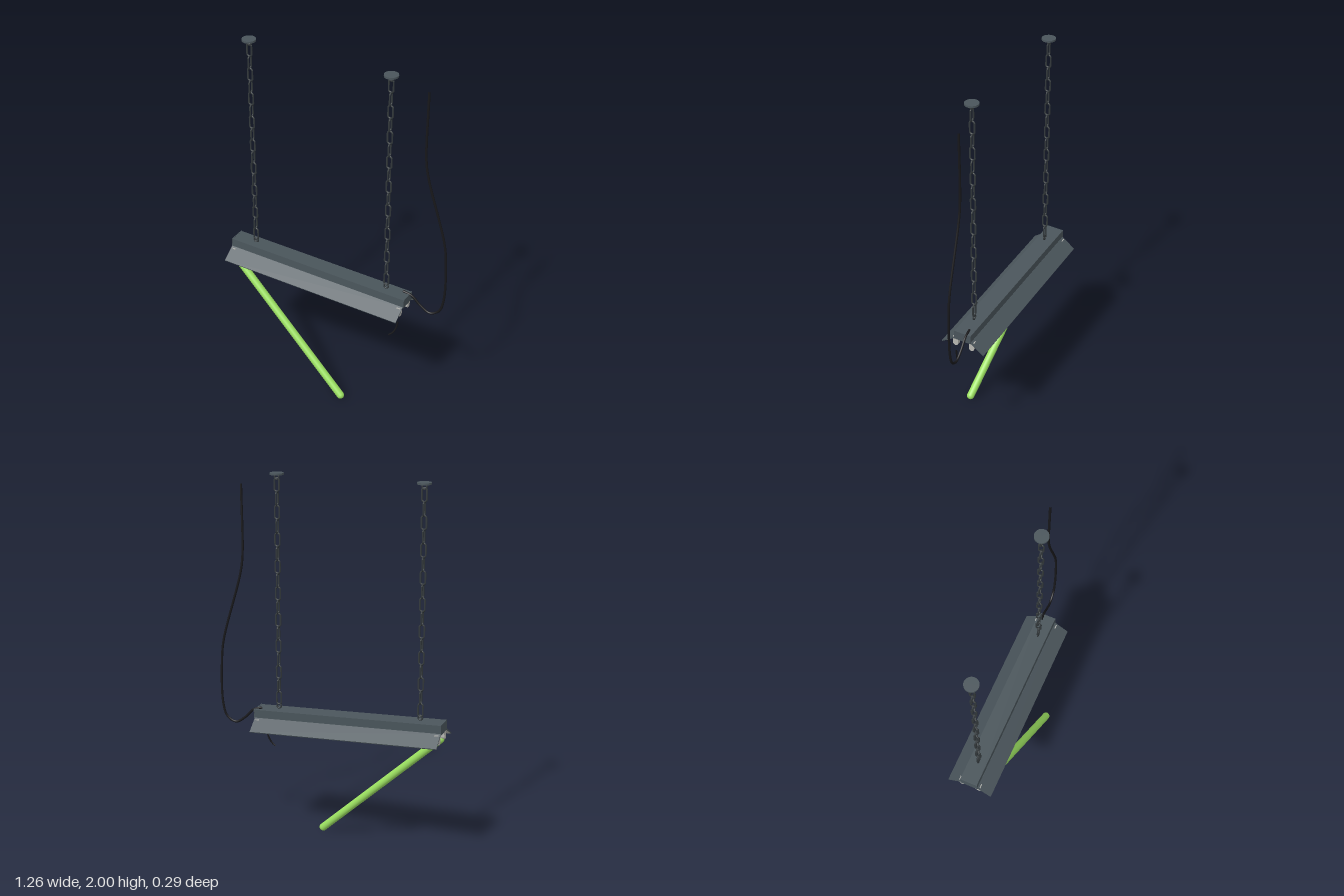
import * as THREE from 'three';

const mat = (color, extra = {}) => new THREE.MeshStandardMaterial({ color, ...extra });
const V = (x, y, z) => new THREE.Vector3(x, y, z);

export function createModel() {
  const root = new THREE.Group();
  root.name = 'hangingTubeLamp';
  const paint = mat(0x4a555b), metal = mat(0x33393c), rubber = mat(0x17171a);
  const lining = mat(0xb4b4ac, { side: THREE.DoubleSide });
  const plastic = mat(0xb9b9b4), glow = mat(0x9be060);

  const add = (parent, name, geo, material, pos = [0, 0, 0]) => {
    const m = new THREE.Mesh(geo, material);
    m.name = name;
    m.position.set(...pos);
    parent.add(m);
    return m;
  };
  // Extrude a (z, y) outline along x, centred
  const extrudeX = (points, length) => {
    const shape = new THREE.Shape(points.map(p => new THREE.Vector2(-p[0], p[1])));
    return new THREE.ExtrudeGeometry(shape, { depth: length, bevelEnabled: false })
      .translate(0, 0, -length / 2).rotateY(Math.PI / 2);
  };

  // Tilted lamp housing
  const fixture = new THREE.Group();
  fixture.name = 'fixture';
  fixture.position.set(-0.099, 0.699, -0.019);
  fixture.rotation.set(-0.04, 0, -0.044);
  root.add(fixture);
  add(fixture, 'channel', new THREE.BoxGeometry(1.05, 0.05, 0.095), paint, [0, 0.025, 0]);
  for (const s of [-1, 1]) {
    add(fixture, 'channelEndCap', new THREE.BoxGeometry(0.005, 0.052, 0.098), paint, [s * 0.525, 0.025, 0]);
    // Sloping reflector wing with a pale inner face
    add(fixture, 'reflectorWing', extrudeX([
      [s * 0.044, 0.006], [s * 0.049, 0.006], [s * 0.124, -0.048],
      [s * 0.122, -0.053], [s * 0.044, 0.001],
    ], 1.048), paint);
    const inner = add(fixture, 'reflectorLining', new THREE.PlaneGeometry(1.044, 0.09), lining, [0, -0.0275, s * 0.083]);
    inner.rotation.x = s * -(Math.PI / 2 - Math.atan2(0.054, 0.078)) ;
    // Lamp holders with rounded lower ends
    for (const e of [-1, 1]) {
      const holder = new THREE.Group();
      holder.name = 'lampHolder';
      holder.position.set(e * 0.505, 0, s * 0.047);
      fixture.add(holder);
      add(holder, 'holderBody', new THREE.BoxGeometry(0.022, 0.04, 0.03), plastic, [0, -0.02, 0]);
      add(holder, 'holderTip', new THREE.CylinderGeometry(0.015, 0.015, 0.022, 16).rotateZ(Math.PI / 2),
        plastic, [0, -0.04, 0]);
    }
  }
  add(fixture, 'channelLining', new THREE.PlaneGeometry(1.044, 0.09).rotateX(Math.PI / 2), lining, [0, -0.001, 0]);

  // Glowing tubes: one seated, one dangling
  const tube = (parent, name, a, b, r) => {
    const d = b.clone().sub(a);
    const m = add(parent, name, new THREE.CapsuleGeometry(r, d.length() - 2 * r, 6, 20), glow,
      a.clone().add(b).multiplyScalar(0.5).toArray());
    m.quaternion.setFromUnitVectors(V(0, 1, 0), d.normalize());
  };
  tube(fixture, 'seatedLamp', V(-0.5, -0.04, -0.047), V(0.5, -0.04, -0.047), 0.02);
  tube(root, 'fallenLamp', V(-0.605, 0.675, 0.03), V(0.122, 0.009, 0.125), 0.021);

  // Chain link: torus stretched into an oval
  const linkGeo = new THREE.TorusGeometry(0.0135, 0.0048, 8, 12).rotateZ(Math.PI / 12);
  const lp = linkGeo.attributes.position;
  for (let i = 0; i < lp.count; i++) lp.setY(i, lp.getY(i) + Math.sign(lp.getY(i)) * 0.0215);
  linkGeo.computeVertexNormals();

  // Two chains with ceiling plates and eyes
  for (const [x, low, eye] of [[-0.495, 0.823, 0.783], [0.302, 0.793, 0.748]]) {
    const chain = new THREE.Group();
    chain.name = 'chain';
    chain.position.set(x, 0, -0.019);
    root.add(chain);
    add(chain, 'ceilingPlate', new THREE.CylinderGeometry(0.037, 0.037, 0.01, 28), paint, [0, 1.995, 0]);
    for (const y of [1.977, eye])
      add(chain, 'eye', new THREE.TorusGeometry(0.012, 0.0045, 8, 16), metal, [0, y, 0]);
    const count = 17;
    for (let i = 0; i < count; i++) {
      const link = add(chain, 'link', linkGeo, metal, [0, low + (1.938 - low) * i / (count - 1), 0]);
      link.rotation.y = (i % 2) * Math.PI / 2;
    }
  }

  // Power cable and loose wire
  const cord = (name, pts, r, seg) => add(root, name, new THREE.TubeGeometry(
    new THREE.CatmullRomCurve3(pts.map(p => V(...p)), false, 'centripetal'), seg, r, 8), rubber);
  cord('powerCable', [
    [0.39, 0.733, -0.04], [0.44, 0.718, -0.044], [0.49, 0.67, -0.047], [0.545, 0.637, -0.05],
    [0.595, 0.665, -0.054], [0.618, 0.74, -0.056], [0.619, 0.99, -0.056], [0.605, 1.1, -0.056],
    [0.505, 1.45, -0.054], [0.488, 1.55, -0.054], [0.488, 1.938, -0.054],
  ], 0.0065, 120);
  cord('looseWire', [[0.402, 0.585, 0.034], [0.393, 0.54, 0.038], [0.378, 0.51, 0.044], [0.357, 0.49, 0.048]], 0.0045, 20);
  return root;
}
